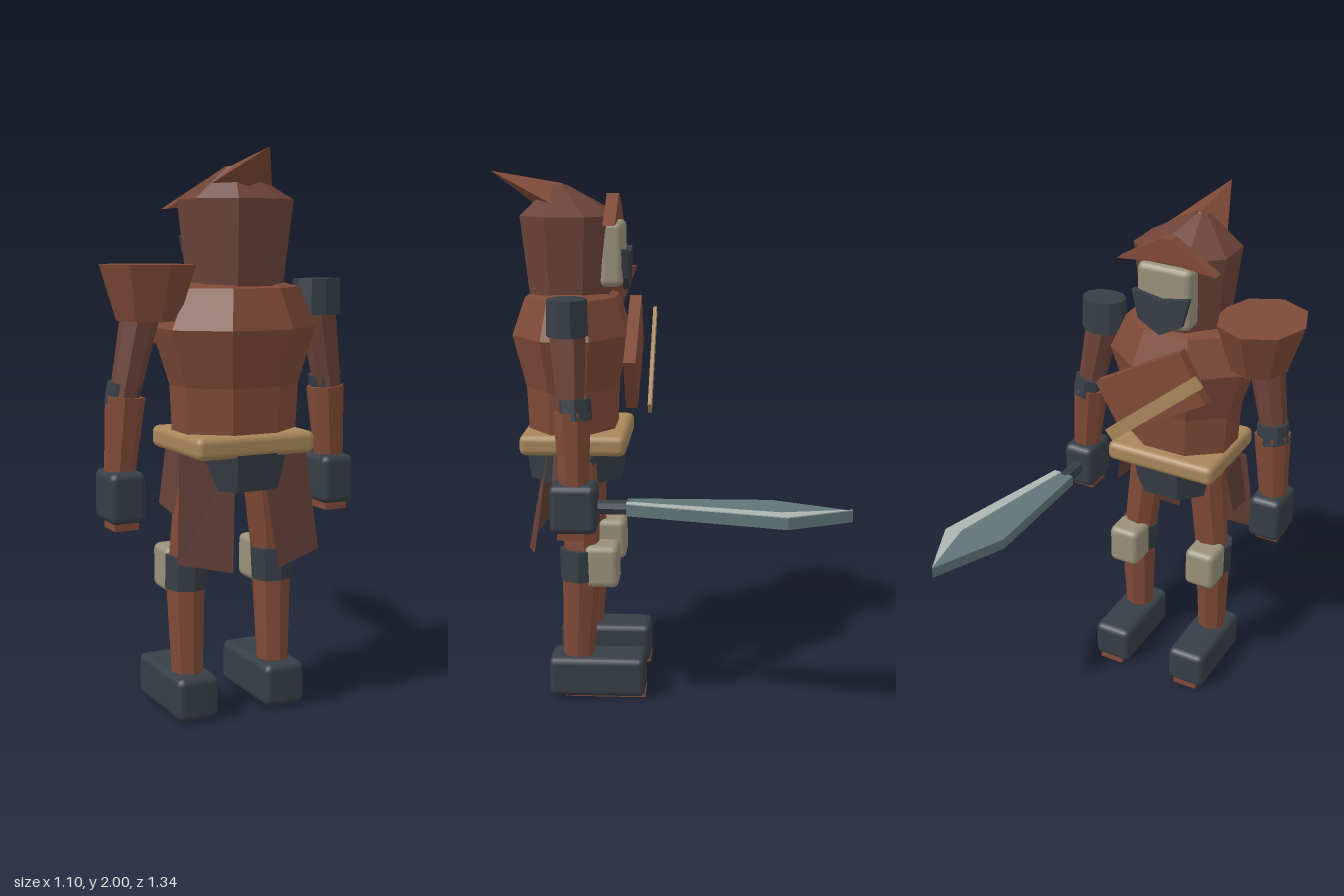
import * as THREE from 'three';
import { RoundedBoxGeometry } from 'three/addons/geometries/RoundedBoxGeometry.js';
import { ConvexGeometry } from 'three/addons/geometries/ConvexGeometry.js';

const mat = (name, color, side = THREE.FrontSide) => {
  const m = new THREE.MeshStandardMaterial({ color, side });
  m.name = name;
  return m;
};
const V = (x, y, z) => new THREE.Vector3(x, y, z);

// Facet a geometry so every face keeps its own normal
const facet = (geo) => {
  const g = geo.index ? geo.toNonIndexed() : geo;
  g.computeVertexNormals();
  return g;
};

export function createModel() {
  const leather = mat('leather', 0x7f4a37);
  const hoodBrown = mat('hoodBrown', 0x6c4338);
  const cloth = mat('cloth', 0x633f36, THREE.DoubleSide);
  const dark = mat('darkGear', 0x373e45);
  const tan = mat('beltTan', 0xa8865a);
  const bone = mat('bone', 0x989079);
  const steel = mat('steel', 0x607578);
  const edge = mat('steelEdge', 0xabb5b1);

  const model = new THREE.Group();
  const body = new THREE.Group();
  body.name = 'body';
  body.position.x = -0.06;
  model.add(body);

  const add = (name, geo, material, parent = body) => {
    const mesh = new THREE.Mesh(geo, material);
    mesh.name = name;
    parent.add(mesh);
    return mesh;
  };
  // Soft-edged box given by its centre and size
  const softBox = (name, c, s, r, material) => {
    const mesh = add(name, new RoundedBoxGeometry(...s, 2, r), material);
    mesh.position.set(...c);
    return mesh;
  };
  // Faceted tapered limb between two points
  const limb = (name, a, b, ra, rb, material, sides = 8, parent = body) => {
    const dir = b.clone().sub(a);
    const geo = new THREE.CylinderGeometry(rb, ra, dir.length(), sides);
    const mesh = add(name, facet(geo), material, parent);
    mesh.position.copy(a).addScaledVector(dir, 0.5);
    mesh.quaternion.setFromUnitVectors(V(0, 1, 0), dir.normalize());
    return mesh;
  };
  // Eight-sided shell from [half width, y] rings, with flat faces front and back
  const shell = (name, rings, depth, z, material) => {
    const k = 1 / Math.cos(Math.PI / 8);
    const pts = rings.map(([r, y]) => new THREE.Vector2(r * k, y));
    const geo = new THREE.LatheGeometry(pts, 8, Math.PI / 8);
    geo.scale(1, 1, depth);
    geo.translate(0, 0, z);
    return add(name, facet(geo), material);
  };
  const extrude = (points, depth) => new THREE.ExtrudeGeometry(
    new THREE.Shape(points.map(([x, y]) => new THREE.Vector2(x, y))),
    { depth, bevelEnabled: false });

  // Torso, hips and belt
  shell('torso', [[0, 0.98], [0.21, 0.98], [0.22, 1.2], [0.28, 1.4], [0.22, 1.54], [0.15, 1.56], [0, 1.56]],
    0.77, 0.365, leather);
  shell('hips', [[0, 0.84], [0.17, 0.84], [0.19, 1.0], [0, 1.0]], 1.02, 0.355, dark);
  softBox('belt', [0, 1.0, 0.35], [0.46, 0.08, 0.4], 0.025, tan);

  // Chest panel and the strap across it
  const panel = add('chestPanel', new THREE.BoxGeometry(0.41, 0.22, 0.045), leather);
  panel.position.set(0.02, 1.33, 0.132);
  panel.rotation.z = -0.53;
  const strap = add('chestStrap', new THREE.BoxGeometry(0.49, 0.05, 0.014), tan);
  strap.position.set(-0.02, 1.295, 0.063);
  strap.rotation.z = -0.71;

  // Hood with its swept-back point
  shell('hood', [[0, 1.52], [0.155, 1.52], [0.19, 1.84], [0, 1.85]], 0.94, 0.37, hoodBrown);
  const crown = new THREE.CylinderGeometry(0.03, 0.19 / Math.cos(Math.PI / 8), 0.11, 8, 1, false, Math.PI / 8);
  const cp = crown.attributes.position;
  for (let i = 0; i < cp.count; i++) {
    if (cp.getY(i) > 0) cp.setXYZ(i, cp.getX(i) - 0.03, cp.getY(i), cp.getZ(i) + 0.045);
    else cp.setZ(i, cp.getZ(i) * 0.94);
  }
  add('hoodCrown', facet(crown), hoodBrown).position.set(0, 1.895, 0.37);
  add('hoodPoint', new ConvexGeometry([
    V(-0.03, 2, 0.67), V(-0.17, 1.84, 0.33), V(0.17, 1.84, 0.33), V(-0.03, 1.955, 0.4), V(-0.02, 1.8, 0.4),
  ]), leather);

  // Face, mask and peaked brim
  softBox('face', [0, 1.7, 0.21], [0.22, 0.24, 0.09], 0.025, bone);
  add('mask', extrude([[-0.115, 1.72], [-0.09, 1.61], [0, 1.56], [0.09, 1.61], [0.115, 1.72], [0, 1.7]].reverse(), 0.025),
    dark).position.z = 0.145;
  add('hoodBrim', extrude([[-0.2, 1.81], [0, 1.83], [0.2, 1.81], [0.02, 1.92], [-0.02, 1.92]], 0.045),
    leather).position.z = 0.185;

  for (const s of [-1, 1]) {
    const side = s > 0 ? 'left' : 'right';

    // Leg, knee and boot
    limb(side + 'Thigh', V(s * 0.13, 0.92, 0.33), V(s * 0.175, 0.5, 0.325), 0.075, 0.065, leather);
    limb(side + 'KneeBand', V(s * 0.172, 0.59, 0.33), V(s * 0.176, 0.47, 0.33), 0.08, 0.078, dark);
    softBox(side + 'KneePad', [s * 0.175, 0.53, 0.245], [0.13, 0.165, 0.13], 0.025, bone);
    limb(side + 'Shin', V(s * 0.175, 0.52, 0.325), V(s * 0.175, 0.08, 0.345), 0.075, 0.057, leather);
    softBox(side + 'Boot', [s * 0.175, 0.087, 0.265], [0.16, 0.157, 0.37], 0.025, dark);
    add(side + 'Sole', new THREE.BoxGeometry(0.1, 0.02, 0.31), leather).position.set(s * 0.175, 0.01, 0.235);

    // Arm and hand
    limb(side + 'UpperArm', V(s * 0.345, 1.48, 0.345), V(s * 0.41, 1.15, 0.33), 0.07, 0.05, hoodBrown);
    limb(side + 'ElbowBand', V(s * 0.4, 1.215, 0.32), V(s * 0.41, 1.14, 0.315), 0.062, 0.062, dark);
    limb(side + 'Forearm', V(s * 0.4, 1.17, 0.325), V(s * 0.425, 0.86, 0.32), 0.07, 0.052, leather);
    softBox(side + 'Hand', [s * 0.42, 0.825, 0.32], [0.13, 0.18, 0.17], 0.025, dark);
    add(side + 'Fingers', new THREE.BoxGeometry(0.09, 0.06, 0.1), leather).position.set(s * 0.42, 0.74, 0.33);

    // Rear cloth flap and small side flap
    const quad = (pts) => {
      const g = new THREE.BufferGeometry().setFromPoints([0, 1, 2, 0, 2, 3].map((i) => V(...pts[i])));
      g.computeVertexNormals();
      return g;
    };
    add(side + 'RearFlap', quad([
      [s * 0.05, 0.97, 0.47], [s * 0.25, 0.97, 0.44], [s * 0.28, 0.6, 0.49], [s * 0.09, 0.56, 0.54],
    ]), cloth);
    add(side + 'SideFlap', quad([
      [s * 0.23, 0.97, 0.42], [s * 0.23, 0.97, 0.28], [s * 0.265, 0.78, 0.3], [s * 0.265, 0.76, 0.43],
    ]), cloth);
  }

  // Left shoulder cap, and the large flared pad on the right
  const cap = limb('leftShoulderCap', V(0.345, 1.435, 0.345), V(0.345, 1.565, 0.345), 0.094, 0.09, dark, 10);
  cap.scale.z = 0.8;
  const pad = limb('rightShoulderPad', V(-0.325, 1.43, 0.342), V(-0.325, 1.62, 0.342), 0.11, 0.17, leather);
  pad.scale.z = 1.17;

  // Sword lying forward from the left hand
  const sword = new THREE.Group();
  sword.name = 'sword';
  model.add(sword);
  limb('grip', V(0.36, 0.825, 0.3), V(0.36, 0.825, 0.12), 0.027, 0.027, dark, 8, sword);
  const flat = (name, pts, y, h, material) => {
    // Outlines are drawn as x and -z, then laid flat
    const geo = extrude(pts.map(([x, z]) => [x, -z]), h);
    geo.rotateX(-Math.PI / 2);
    geo.translate(0, y, 0);
    add(name, geo, material, sword);
  };
  flat('blade', [[0.32, 0.13], [0.405, 0.13], [0.545, -0.44], [0.44, -0.67], [0.315, -0.39]], 0.805, 0.042, steel);
  flat('bladeEdge', [[0.375, 0.13], [0.405, 0.13], [0.545, -0.44], [0.44, -0.67], [0.485, -0.42]], 0.847, 0.004, edge);

  return model;
}
